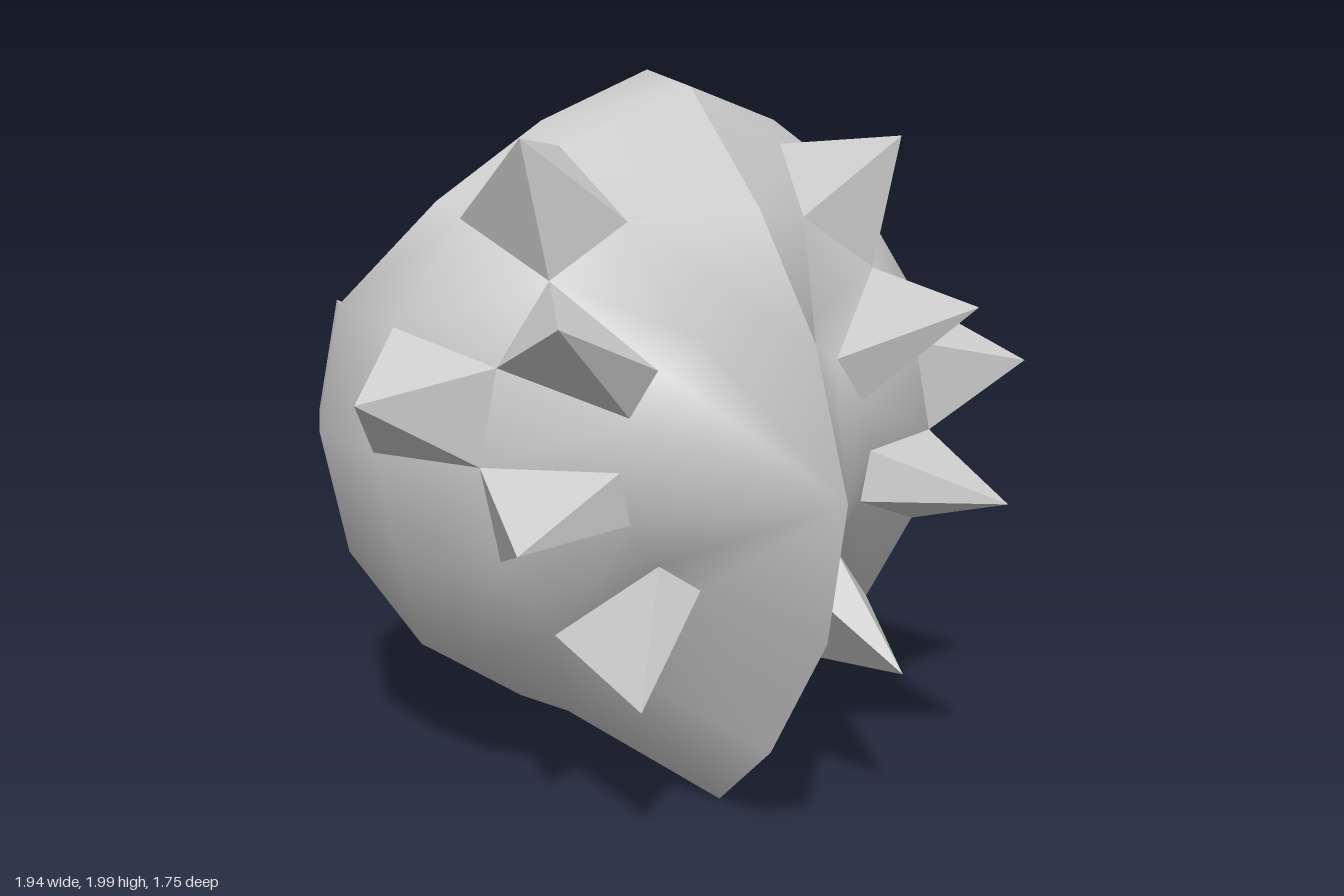
import * as THREE from 'three';

const CENTRE_Z = -0.52, RADIUS = 0.93, STEP = Math.PI / 8, INNER = 0.88;

// Keel line on the middle plane, per ring: [y, z]
const TOP_KEEL = [[1, 0.87], [1.35, 0.7], [1.65, 0.39], [1.95, -0.04], [2, -0.35], [1.85, -0.72]];
const BOTTOM_KEEL = [[1, 0.87], [0.64, 0.78], [0.26, 0.48], [0.01, 0.16], [0.01, -0.35], [0.14, -0.72]];

// Corners pulled off the sphere along the brow opening, keyed by ring,column
const MOVED = { '4,1': [0.35, 1.86, -0.25], '4,2': [0.65, 1.65, -0.24], '5,1': [0.23, 1.79, -0.75] };

// Spikes: [ring, column of the base cell, apex]
const SPIKES = [
  ['crownSpike', 2, 1, [0.54, 1.82, 0.15]],
  ['browSpike', 1, 2, [0.57, 1.39, 0.51]],
  ['sideSpike', 2, 3, [0.97, 1.18, 0.14]],
  ['cheekSpike', 1, 4, [0.68, 0.86, 0.51]],
  ['chinSpike', 1, 6, [0.37, 0.43, 0.51]],
];

// Opening edge on one side: [ring, column]
const RIM = [[5, 0], [5, 1], [4, 1], [4, 2], [4, 3], [5, 3], [5, 4], [5, 5], [5, 6], [5, 7], [5, 8]];

// Point of the shell: ring 0 is the front tip, column 0 the top, column 8 the bottom
function outerPoint(ring, col) {
  if (ring === 0) return [0, 1, 0.87];
  if (col === 0 || col === 8) return [0, ...(col ? BOTTOM_KEEL : TOP_KEEL)[ring]];
  const moved = MOVED[`${ring},${col}`];
  if (moved) return moved;
  const r = RADIUS * Math.sin(ring * STEP), a = col * STEP;
  return [r * Math.sin(a), 1 + r * Math.cos(a), CENTRE_Z + RADIUS * Math.cos(ring * STEP)];
}

function innerPoint(ring, col) {
  const [x, y, z] = outerPoint(ring, col);
  const zIn = ring >= 4 ? z : CENTRE_Z + (z - CENTRE_Z) * INNER;
  return [x * INNER, 1 + (y - 1) * INNER, zIn];
}

// The +x half is described; side = -1 mirrors it
function makeMesh(name, points, triangles, side, smooth, material) {
  let geometry = new THREE.BufferGeometry();
  const flat = points.flatMap(([x, y, z]) => [x * side, y, z]);
  geometry.setAttribute('position', new THREE.Float32BufferAttribute(flat, 3));
  geometry.setIndex(triangles.flatMap(([a, b, c]) => (side > 0 ? [a, b, c] : [a, c, b])));
  if (!smooth) geometry = geometry.toNonIndexed();
  geometry.computeVertexNormals();
  const mesh = new THREE.Mesh(geometry, material);
  mesh.name = name;
  return mesh;
}

// Smooth curved skin, leaving the brow opening free
function skin(name, pointAt, inward, side, material) {
  const points = [], triangles = [];
  const id = (ring, col) => (ring === 0 ? 0 : ring * 9 + col);
  for (let ring = 0; ring <= 5; ring++)
    for (let col = 0; col <= 8; col++) points.push(pointAt(ring, col));
  for (let ring = 0; ring < 5; ring++) {
    for (let col = 0; col < 8; col++) {
      if (ring === 4 && (col === 1 || col === 2)) continue;
      const a = id(ring, col), b = id(ring, col + 1);
      const c = id(ring + 1, col + 1), d = id(ring + 1, col);
      const cell = ring === 0 ? [[a, c, d]] : [[a, b, c], [a, c, d]];
      cell.forEach(([p, q, r]) => triangles.push(inward ? [p, r, q] : [p, q, r]));
    }
  }
  return makeMesh(name, points, triangles, side, true, material);
}

// Flat band joining the outer and inner skins
function rim(side, material) {
  const points = [], triangles = [];
  RIM.forEach(([ring, col], i) => {
    points.push(outerPoint(ring, col), innerPoint(ring, col));
    if (i === 0) return;
    const a = 2 * (i - 1), b = 2 * i;
    triangles.push([a, b, b + 1], [a, b + 1, a + 1]);
  });
  return makeMesh('rim', points, triangles, side, false, material);
}

// Four-sided spike standing on one cell of the shell
function spike(name, ring, col, apex, side, material) {
  const points = [
    outerPoint(ring, col), outerPoint(ring, col + 1),
    outerPoint(ring + 1, col + 1), outerPoint(ring + 1, col), apex,
  ];
  const triangles = [0, 1, 2, 3].map((i) => [i, (i + 1) % 4, 4]);
  return makeMesh(name, points, triangles, side, false, material);
}

export function createModel() {
  const model = new THREE.Group();
  model.name = 'spikedHelmet';
  const material = new THREE.MeshStandardMaterial({ color: 0xcccccc, side: THREE.DoubleSide });
  for (const side of [1, -1]) {
    const half = new THREE.Group();
    half.name = side > 0 ? 'leftHalf' : 'rightHalf';
    half.add(skin('outerShell', outerPoint, false, side, material));
    half.add(skin('innerShell', innerPoint, true, side, material));
    half.add(rim(side, material));
    for (const [name, ring, col, apex] of SPIKES) half.add(spike(name, ring, col, apex, side, material));
    model.add(half);
  }
  return model;
}
